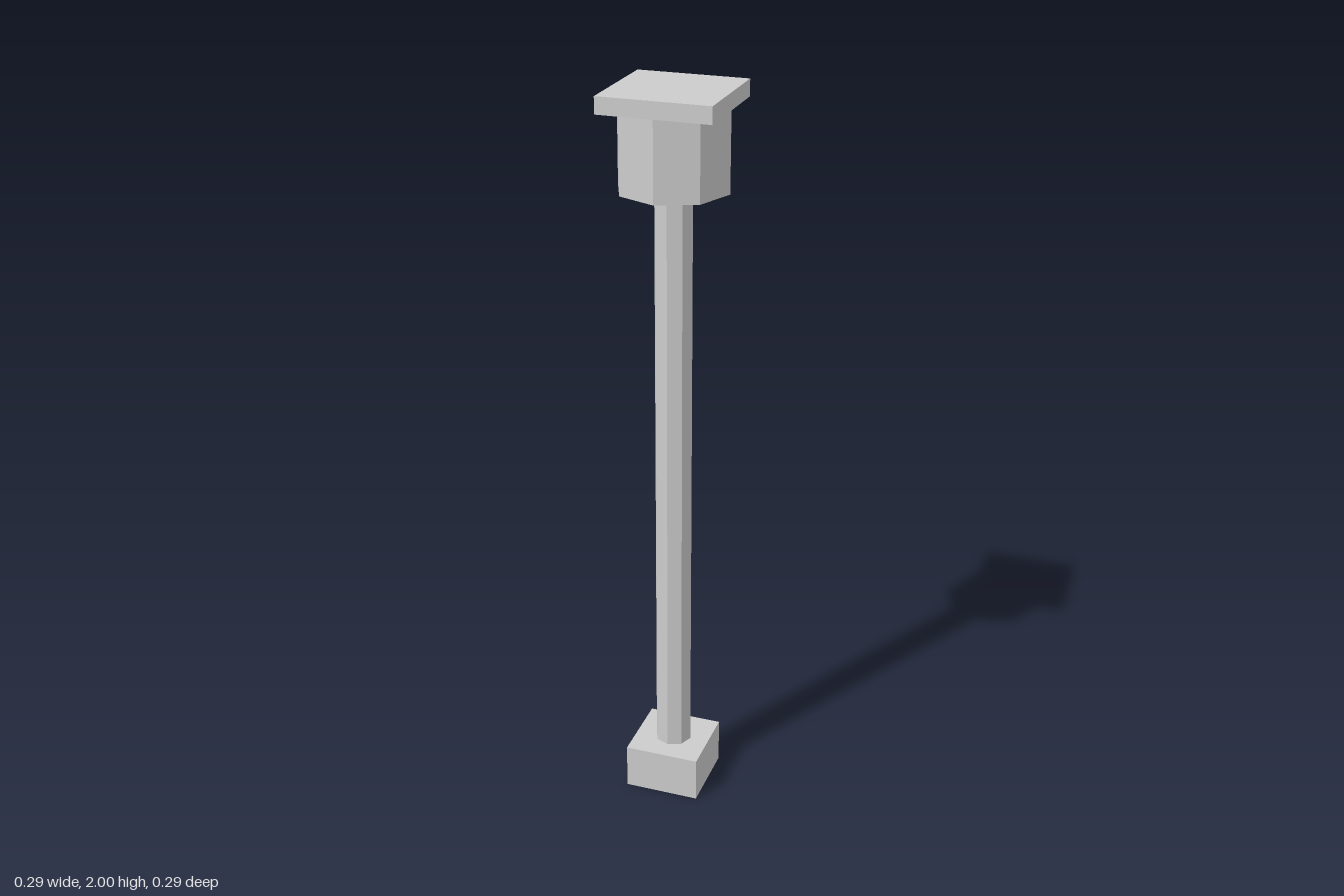
import * as THREE from 'three';

export function createModel() {
  const group = new THREE.Group();
  const stone = new THREE.MeshStandardMaterial({ color: 0xcccccc, flatShading: true });
  stone.name = 'grey stone';

  // Each part stands on the height given by bottom
  const add = (name, geometry, bottom, height) => {
    const mesh = new THREE.Mesh(geometry, stone);
    mesh.name = name;
    mesh.position.y = bottom + height / 2;
    group.add(mesh);
  };
  const block = (name, width, bottom, top) =>
    add(name, new THREE.BoxGeometry(width, top - bottom, width), bottom, top - bottom);
  // Eight-sided prism with a corner facing the front
  const octagon = (name, radius, bottom, top) =>
    add(name, new THREE.CylinderGeometry(radius, radius, top - bottom, 8), bottom, top - bottom);

  block('base', 0.208, 0, 0.127);
  octagon('shaft', 0.051, 0.127, 1.748);
  octagon('capital', 0.147, 1.748, 1.956);
  block('topSlab', 0.295, 1.956, 2);

  return group;
}
